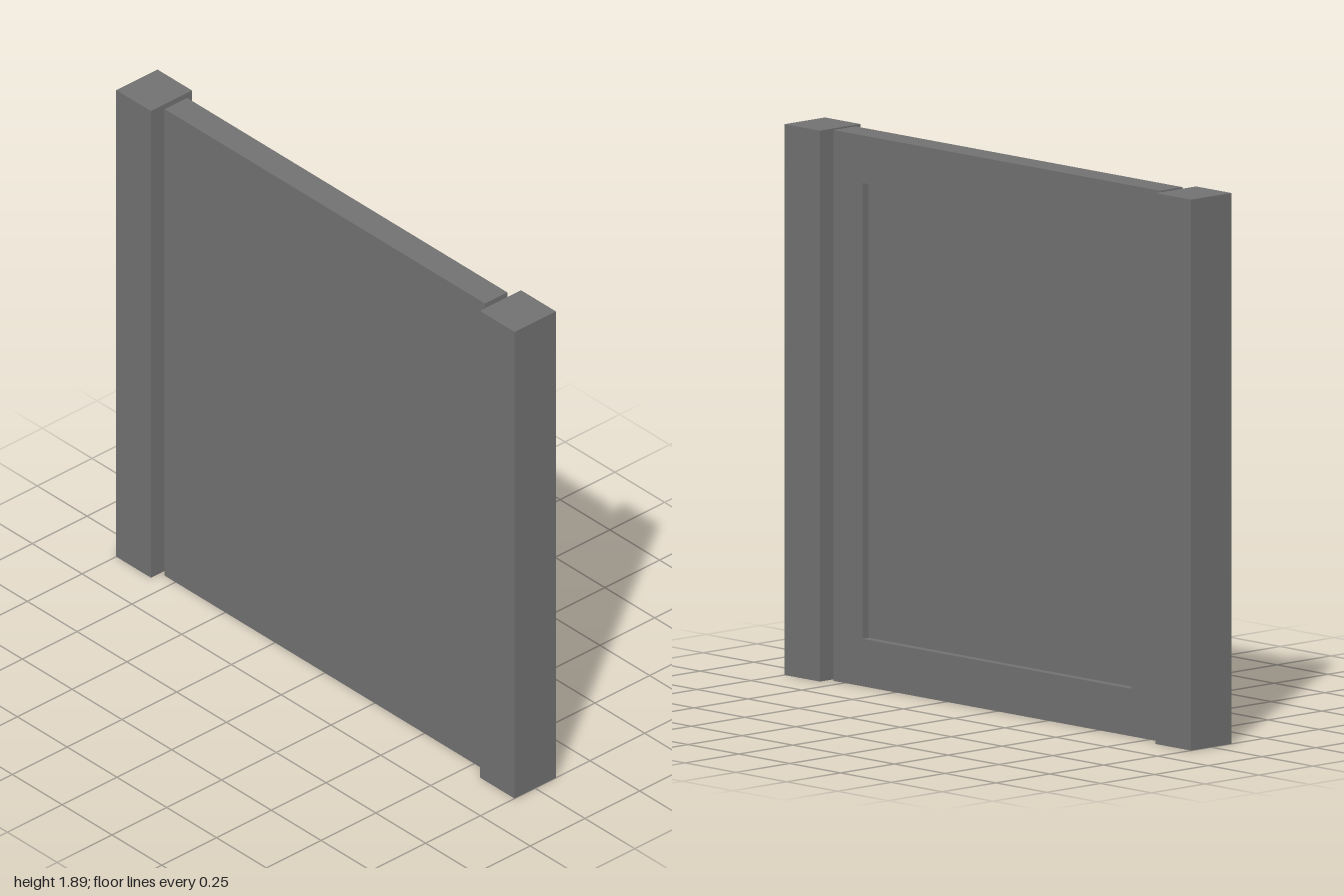
import * as THREE from 'three';

const HEIGHT = 1.89;
const POST_WIDTH = 0.174;
const PANEL_HALF = 0.804;   // half width of the panel
const PANEL_Z = 0.051;      // half thickness of the panel
const RECESS = 0.028;       // depth of the recess in the back

export function createModel() {
  const group = new THREE.Group();
  const material = new THREE.MeshStandardMaterial({ color: 0x737373 });

  const add = (name, geometry, x, z) => {
    const mesh = new THREE.Mesh(geometry, material);
    mesh.name = name;
    mesh.position.set(x, HEIGHT / 2, z);
    group.add(mesh);
  };

  // Square posts standing clear of the panel on each side
  const postGeometry = new THREE.BoxGeometry(POST_WIDTH, HEIGHT, 0.188);
  add('leftPost', postGeometry, 1 - POST_WIDTH / 2, 0);
  add('rightPost', postGeometry, POST_WIDTH / 2 - 1, 0);

  // Plain panel, flat on the front
  const slab = new THREE.BoxGeometry(2 * PANEL_HALF, HEIGHT, 2 * PANEL_Z - RECESS);
  add('panel', slab, 0, RECESS / 2);

  // Raised border on the back, leaving a shallow rectangular recess
  const rectangle = (target, w, h) => target
    .moveTo(-w, -h).lineTo(w, -h).lineTo(w, h).lineTo(-w, h).closePath();
  const border = rectangle(new THREE.Shape(), PANEL_HALF, HEIGHT / 2);
  border.holes.push(rectangle(new THREE.Path(), PANEL_HALF - 0.142, HEIGHT / 2 - 0.163));
  add('backBorder', new THREE.ExtrudeGeometry(border, { depth: RECESS, bevelEnabled: false }),
    0, -PANEL_Z);

  return group;
}
